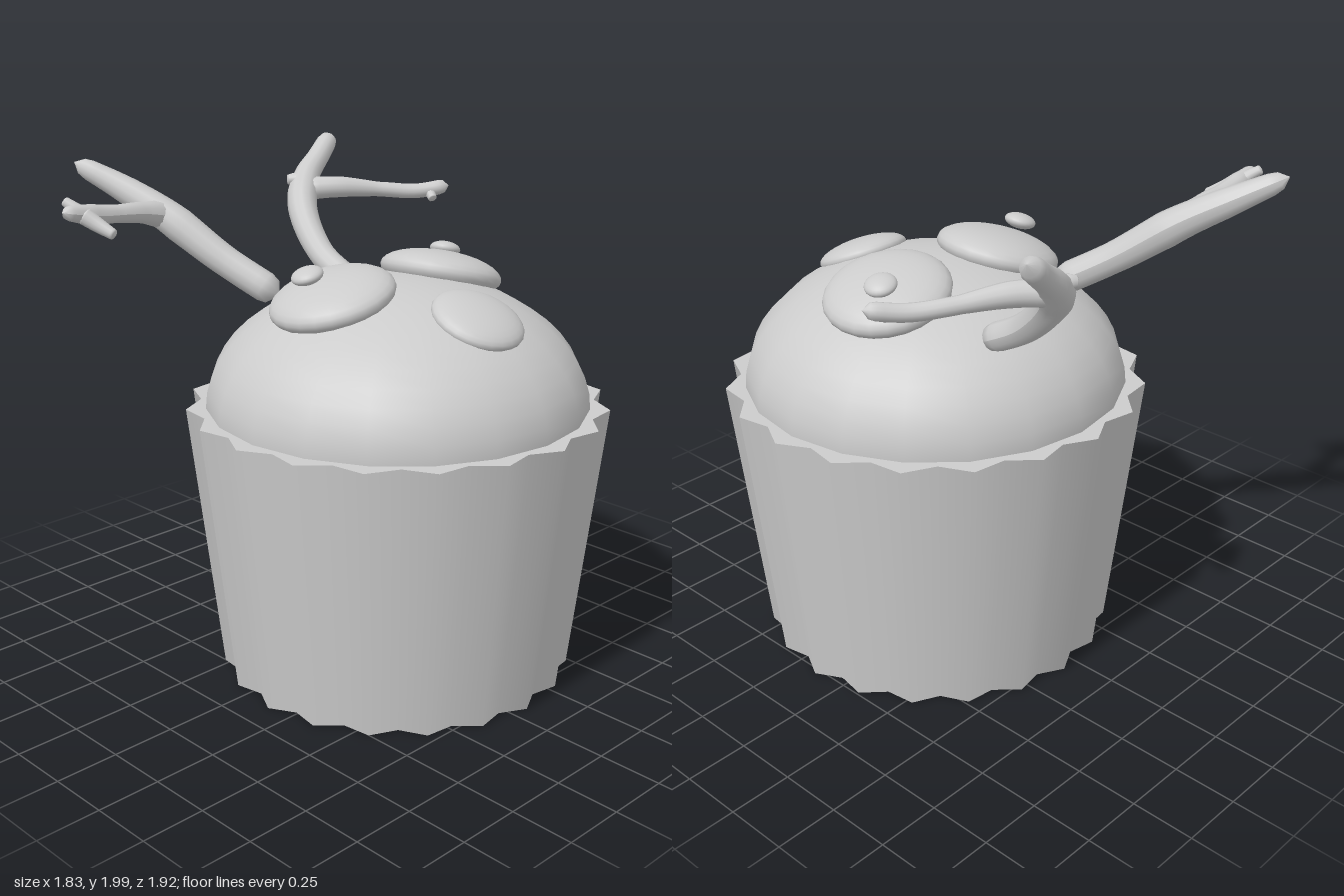
import * as THREE from 'three';

const CX = 0.07, CZ = 0.14, RIM = 1.09;
const grey = new THREE.MeshStandardMaterial({ color: 0xcccccc });

function add(parent, name, geometry) {
  const mesh = new THREE.Mesh(geometry, grey);
  mesh.name = name;
  parent.add(mesh);
  return mesh;
}

// Cup with pleats: every second vertex column is pulled inwards
function pleatedCup(pleats) {
  const g = new THREE.CylinderGeometry(0.827, 0.705, RIM, pleats * 2, 1);
  const p = g.attributes.position;
  for (let i = 0; i < p.count; i++) {
    const step = Math.round(Math.atan2(p.getX(i), p.getZ(i)) / (Math.PI / pleats));
    const k = step % 2 ? 0.933 : 1;
    p.setXYZ(i, p.getX(i) * k, p.getY(i) + RIM / 2, p.getZ(i) * k);
  }
  return g;
}

// Flattened ball lying on the dome, tilted along the dome's normal
function disc(parent, name, x, y, z, radius, thickness) {
  const mesh = add(parent, name, new THREE.SphereGeometry(1, 24, 16));
  mesh.scale.set(radius, thickness, radius);
  mesh.position.set(x, y, z);
  const normal = new THREE.Vector3((x - CX) / 0.5625, (y - RIM) / 0.24, (z - CZ) / 0.5625).normalize();
  mesh.quaternion.setFromUnitVectors(new THREE.Vector3(0, 1, 0), normal);
}

// Tube whose radius follows a list of values, closed at both ends
function branch(parent, name, points, radii) {
  const curve = new THREE.CatmullRomCurve3(points.map(p => new THREE.Vector3(...p)));
  const rings = 28, sides = 12;
  const g = new THREE.TubeGeometry(curve, rings, 1, sides);
  const p = g.attributes.position, v = new THREE.Vector3();
  for (let i = 0; i <= rings; i++) {
    const t = (i / rings) * (radii.length - 1), k = Math.min(Math.floor(t), radii.length - 2);
    let r = THREE.MathUtils.lerp(radii[k], radii[k + 1], t - k);
    if (i === 0 || i === rings) r = 0;
    if (i === 1 || i === rings - 1) r *= 0.85;
    const c = curve.getPointAt(i / rings);
    for (let j = 0; j <= sides; j++) {
      const n = i * (sides + 1) + j;
      v.fromBufferAttribute(p, n).sub(c).multiplyScalar(r).add(c);
      p.setXYZ(n, v.x, v.y, v.z);
    }
  }
  g.computeVertexNormals();
  add(parent, name, g);
}

export function createModel() {
  const model = new THREE.Group();
  model.name = 'cupcake';

  add(model, 'wrapper', pleatedCup(20)).position.set(CX, 0, CZ);

  const dome = add(model, 'cakeTop', new THREE.SphereGeometry(1, 20, 12, 0, Math.PI * 2, 0, Math.PI / 2));
  dome.scale.set(0.75, 0.49, 0.75);
  dome.position.set(CX, RIM, CZ);

  // Face
  disc(model, 'rightEye', -0.22, 1.54, 0.078, 0.245, 0.088);
  disc(model, 'leftEye', 0.38, 1.54, 0.078, 0.245, 0.088);
  disc(model, 'rightPupil', -0.325, 1.64, 0.055, 0.062, 0.03);
  disc(model, 'leftPupil', 0.467, 1.613, 0.02, 0.062, 0.03);
  disc(model, 'nose', 0.07, 1.49, 0.545, 0.18, 0.06);

  // Right antler: trunk, side branch and two twigs
  const right = new THREE.Group();
  right.name = 'rightAntler';
  branch(right, 'trunk', [[-0.21, 1.49, -0.23], [-0.32, 1.62, -0.43], [-0.43, 1.78, -0.64], [-0.52, 1.88, -0.8], [-0.63, 1.975, -0.955]],
    [0.06, 0.06, 0.068, 0.055, 0.035]);
  branch(right, 'sideBranch', [[-0.42, 1.78, -0.65], [-0.56, 1.81, -0.635], [-0.76, 1.83, -0.63], [-0.92, 1.86, -0.62]],
    [0.06, 0.042, 0.035, 0.04, 0.025]);
  branch(right, 'upperTwig', [[-0.81, 1.83, -0.62], [-0.84, 1.86, -0.65], [-0.865, 1.89, -0.69]], [0.03, 0.024, 0.018]);
  branch(right, 'lowerTwig', [[-0.83, 1.84, -0.62], [-0.8, 1.805, -0.57], [-0.77, 1.77, -0.505]], [0.035, 0.028, 0.02]);
  model.add(right);

  // Left antler: trunk, side branch and small knobs
  const left = new THREE.Group();
  left.name = 'leftAntler';
  branch(left, 'trunk', [[0.28, 1.44, -0.32], [0.27, 1.54, -0.5], [0.32, 1.7, -0.67], [0.42, 1.81, -0.755], [0.53, 1.89, -0.79], [0.64, 1.97, -0.825]],
    [0.055, 0.055, 0.06, 0.065, 0.048, 0.042]);
  branch(left, 'sideBranch', [[0.38, 1.77, -0.73], [0.5, 1.775, -0.64], [0.68, 1.755, -0.53], [0.79, 1.745, -0.45], [0.91, 1.765, -0.365]],
    [0.05, 0.045, 0.032, 0.032, 0.032]);
  branch(left, 'rearKnob', [[0.39, 1.8, -0.73], [0.36, 1.81, -0.76], [0.33, 1.81, -0.78]], [0.04, 0.03, 0.02]);
  branch(left, 'tipKnob', [[0.83, 1.75, -0.42], [0.83, 1.735, -0.4], [0.82, 1.715, -0.375]], [0.025, 0.022, 0.018]);
  model.add(left);

  return model;
}
